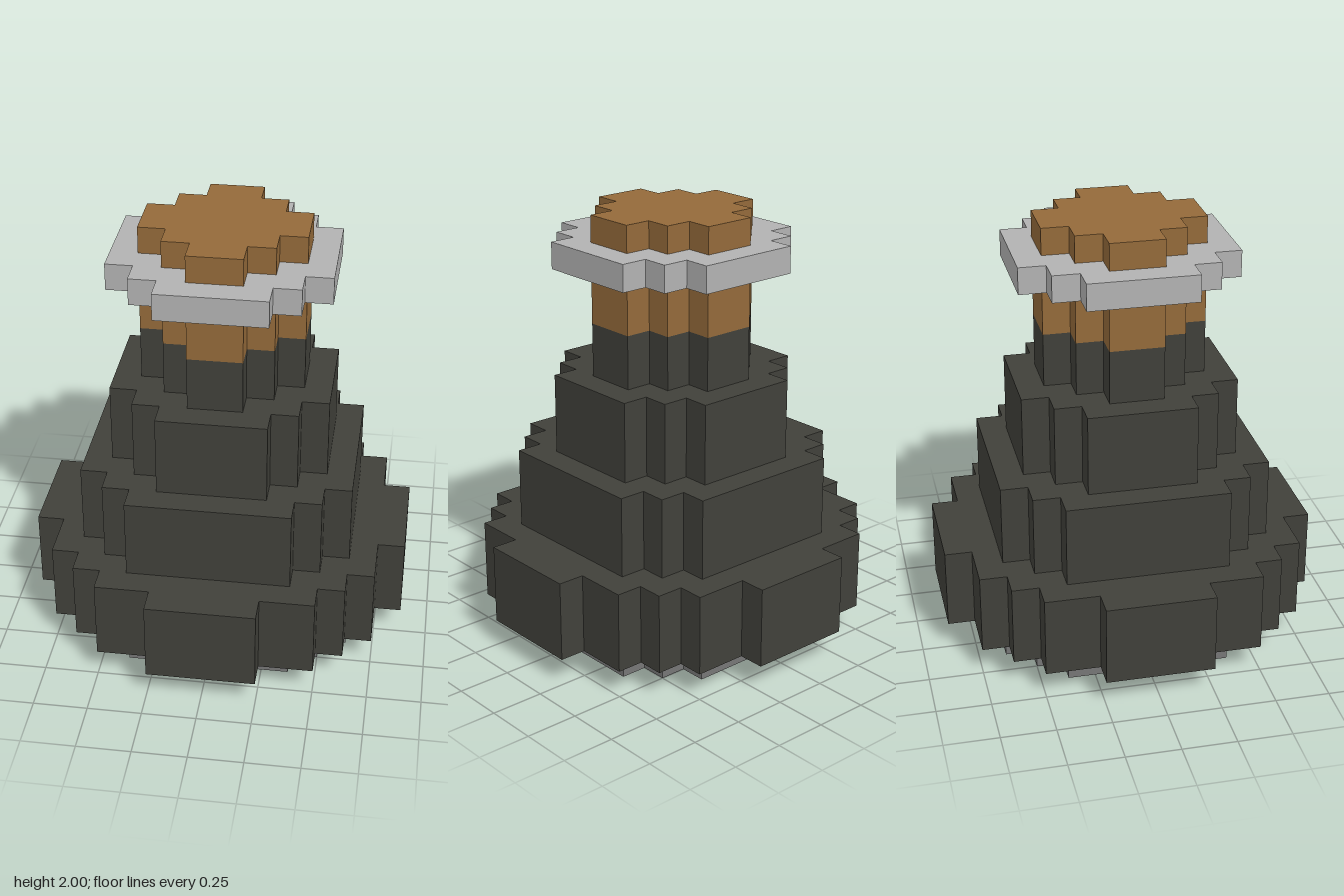
import * as THREE from 'three';

const U = 0.125; // voxel size

// Stepped round outline: steps list [x, z] corners of one quadrant in voxels,
// from the +x side to the +z side; the other quadrants follow by mirroring.
function steppedShape(steps) {
  const quadrant = [];
  steps.forEach(([x, z], i) => {
    quadrant.push([x, i ? steps[i - 1][1] : 0], [x, z]);
  });
  quadrant.shift(); // drop the point on the axis
  const points = [];
  const add = (list, sx, sz) =>
    list.forEach(([x, z]) => points.push(new THREE.Vector2(x * sx * U, z * sz * U)));
  const reversed = [...quadrant].reverse();
  add(quadrant, 1, 1);
  add(reversed, -1, 1);
  add(quadrant, -1, -1);
  add(reversed, 1, -1);
  return new THREE.Shape(points);
}

const SMALL = [[3, 1], [2, 2], [1, 3]];
const MEDIUM = [[4, 2], [3, 3], [2, 4]];
const LARGE = [[5, 3], [4, 4], [3, 5]];
const WIDEST = [[7, 2], [6, 4], [5, 5], [4, 6], [2, 7]];

export function createModel() {
  const material = (name, color) => {
    const m = new THREE.MeshStandardMaterial({ color });
    m.name = name;
    return m;
  };
  const dark = material('dark glass', 0x40403a);
  const grey = material('base grey', 0x767676);
  const light = material('rim grey', 0xb2b2b2);
  const cork = material('cork brown', 0x946a3a);

  const group = new THREE.Group();
  group.name = 'flask';

  // Each layer: name, outline, bottom and top in voxels, material
  const layers = [
    ['base', LARGE, 0, 1, grey],
    ['lowerBody', WIDEST, 1, 4, dark],
    ['middleBody', LARGE, 4, 7, dark],
    ['shoulder', MEDIUM, 7, 10, dark],
    ['neck', SMALL, 10, 12, dark],
    ['stopper', SMALL, 12, 16, cork],
    ['rim', MEDIUM, 14, 15, light],
  ];
  for (const [name, steps, bottom, top, mat] of layers) {
    const geometry = new THREE.ExtrudeGeometry(steppedShape(steps), {
      depth: (top - bottom) * U,
      bevelEnabled: false,
    });
    geometry.rotateX(-Math.PI / 2);
    const mesh = new THREE.Mesh(geometry, mat);
    mesh.name = name;
    mesh.position.y = bottom * U;
    group.add(mesh);
  }
  return group;
}
